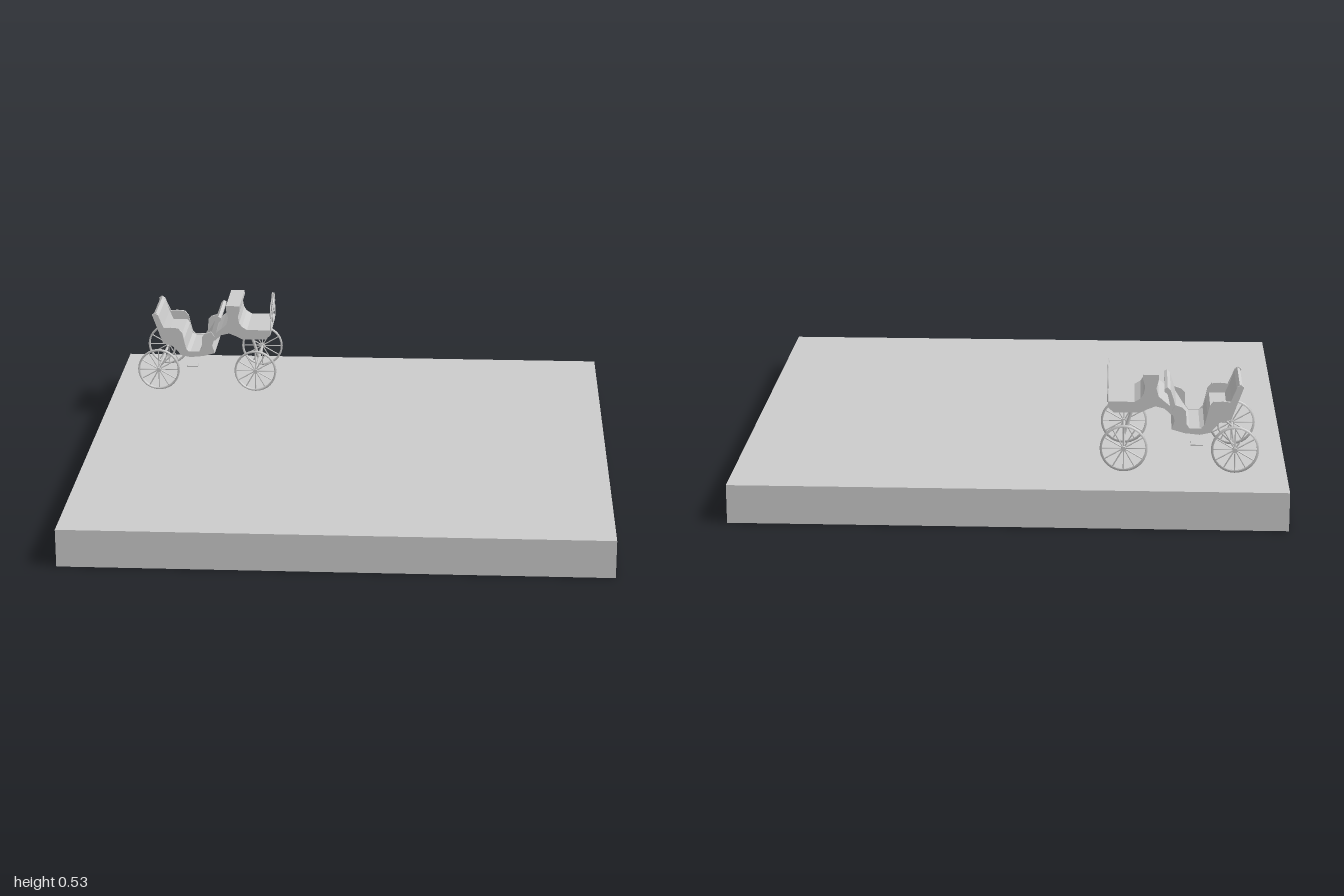
import * as THREE from 'three';

const grey = new THREE.MeshStandardMaterial({ color: 0xcccccc, side: THREE.DoubleSide });
const faceted = new THREE.MeshStandardMaterial({ color: 0xcccccc, side: THREE.DoubleSide, flatShading: true });

// Carriage drawing units: 187 per model unit, origin at the slab's bottom centre
const U = 187;
const pt = ([x, y]) => new THREE.Vector2((x - 238) / U, (274 - y) / U);
const at = (x, y, z) => { const p = pt([x, y]); return new THREE.Vector3(p.x, p.y, z); };

function add(parent, name, geometry, material = grey) {
  const mesh = new THREE.Mesh(geometry, material);
  mesh.name = name;
  parent.add(mesh);
  return mesh;
}

// Side profile extruded across the carriage, centred on z
function slab(parent, name, points, width, z = 0) {
  const g = new THREE.ExtrudeGeometry(new THREE.Shape(points.map(pt)), { depth: width, bevelEnabled: false });
  g.translate(0, 0, z - width / 2);
  return add(parent, name, g, faceted);
}

function rod(parent, name, a, b, r) {
  return add(parent, name, new THREE.TubeGeometry(new THREE.LineCurve3(a, b), 1, r, 8));
}

function bar(parent, name, points, r, segments = 28) {
  return add(parent, name, new THREE.TubeGeometry(new THREE.CatmullRomCurve3(points), segments, r, 6));
}

function makeWheel(name) {
  const wheel = new THREE.Group();
  wheel.name = name;
  const R = 0.086;
  // Flat tyre with a rectangular section
  const rim = [[R - 0.008, -0.004], [R, -0.004], [R, 0.004], [R - 0.008, 0.004], [R - 0.008, -0.004]];
  add(wheel, 'rim', new THREE.LatheGeometry(rim.map(p => new THREE.Vector2(...p)), 40)).rotation.x = Math.PI / 2;
  add(wheel, 'hub', new THREE.CylinderGeometry(0.009, 0.009, 0.024, 16)).rotation.x = Math.PI / 2;
  for (let i = 0; i < 12; i++) {
    const a = i * Math.PI / 6;
    const d = new THREE.Vector3(Math.cos(a), Math.sin(a), 0);
    rod(wheel, 'spoke', d.clone().multiplyScalar(0.006), d.clone().multiplyScalar(R - 0.005), 0.0024);
  }
  return wheel;
}

export function createModel() {
  const model = new THREE.Group();
  model.name = 'carriageOnBase';

  add(model, 'base', new THREE.BoxGeometry(2, 0.142, 2)).position.y = 0.071;

  const carriage = new THREE.Group();
  carriage.name = 'carriage';
  carriage.position.z = -0.6625;
  model.add(carriage);

  // Wheels and axles
  for (const [label, x] of [['rear', 86.5], ['front', 161]]) {
    rod(carriage, label + 'Axle', at(x, 228, -0.178), at(x, 228, 0.178), 0.005);
    for (const s of [-1, 1]) {
      const wheel = makeWheel(label + 'Wheel');
      wheel.position.copy(at(x, 228, s * 0.168));
      carriage.add(wheel);
    }
  }

  // Rear tub: sloping back, bench, sunken floor and curled front wall in one section
  slab(carriage, 'rearTub', [
    [82, 187], [84, 185.5], [86, 188], [89, 197], [92, 204], [103, 204], [105, 207], [107, 215],
    [110, 216.5], [117, 216.5], [121, 211], [126, 203], [128, 196], [130, 190], [132, 188],
    [134, 189], [134, 191], [132, 193], [131, 197], [130, 202], [128, 207], [127, 211], [129, 217],
    [120, 219], [110, 220], [104, 219], [100, 216], [97, 212], [93, 210], [89, 209], [86, 200]], 0.235);

  // Side panels with scooped armrests and a low doorway
  for (const s of [-1, 1]) {
    slab(carriage, 'sidePanel', [
      [81, 187], [83, 185.5], [85.5, 187], [88, 193], [90, 197.5], [95, 197], [101, 197.5], [104, 201],
      [105.5, 208], [107, 214], [109, 216], [117, 216], [119, 213], [119.5, 204], [122, 201.5],
      [126.5, 200], [129, 204], [127, 211], [129, 217], [120, 219.5], [110, 220.5], [103, 219],
      [97, 212], [89, 209.5], [85, 198]], 0.01, s * 0.12);
  }

  // Driver's platform and seat
  slab(carriage, 'driverSeat', [
    [127, 207], [129, 202], [134, 198], [138, 194.5], [139.5, 189], [138, 183], [138, 179.5], [148.5, 179.5],
    [148.5, 183], [147, 188], [148, 193], [150, 196], [154, 198.5], [172, 198.5], [172, 202.5],
    [168, 206], [150, 206], [145, 203.5], [140, 201.5], [134, 203], [129, 207.5]], 0.23);

  // Springs and front pivot post
  for (const s of [-1, 1]) {
    bar(carriage, 'rearSpring', [at(98, 211, s * 0.105), at(97, 218, s * 0.105), at(92, 223, s * 0.11), at(86.5, 228, s * 0.115)], 0.004, 12);
    // Boarding step
    const step = add(carriage, 'step', new THREE.BoxGeometry(0.045, 0.005, 0.05));
    step.position.copy(at(112, 226.5, s * 0.125));
  }
  rod(carriage, 'pivotPost', at(154, 205, 0), at(161, 228, 0), 0.006);

  // Dashboard of scrolled ironwork, mirrored about the centre
  const dash = new THREE.Group();
  dash.name = 'dashboard';
  carriage.add(dash);
  rod(dash, 'lowerRail', at(172, 199, -0.115), at(172, 199, 0.115), 0.003);
  const scrolls = [
    [[0, 199], [4, 193], [9, 186], [14, 181], [18, 182], [19, 186], [16, 188], [14, 185.5]],
    [[0, 185], [4, 189], [10, 193], [17, 192], [21, 188], [20, 183], [15, 179.5], [8, 179]],
    [[0, 175], [4, 176], [7, 180], [5, 184], [2, 183], [2.5, 180]],
    [[21, 199], [21.5, 194], [20, 190], [16, 190], [15, 194], [18, 195]]];
  for (const s of [-1, 1]) {
    for (const scroll of scrolls) {
      bar(dash, 'scroll', scroll.map(([z, y]) => at(172, y, s * z / U)), 0.0022);
    }
  }
  return model;
}
